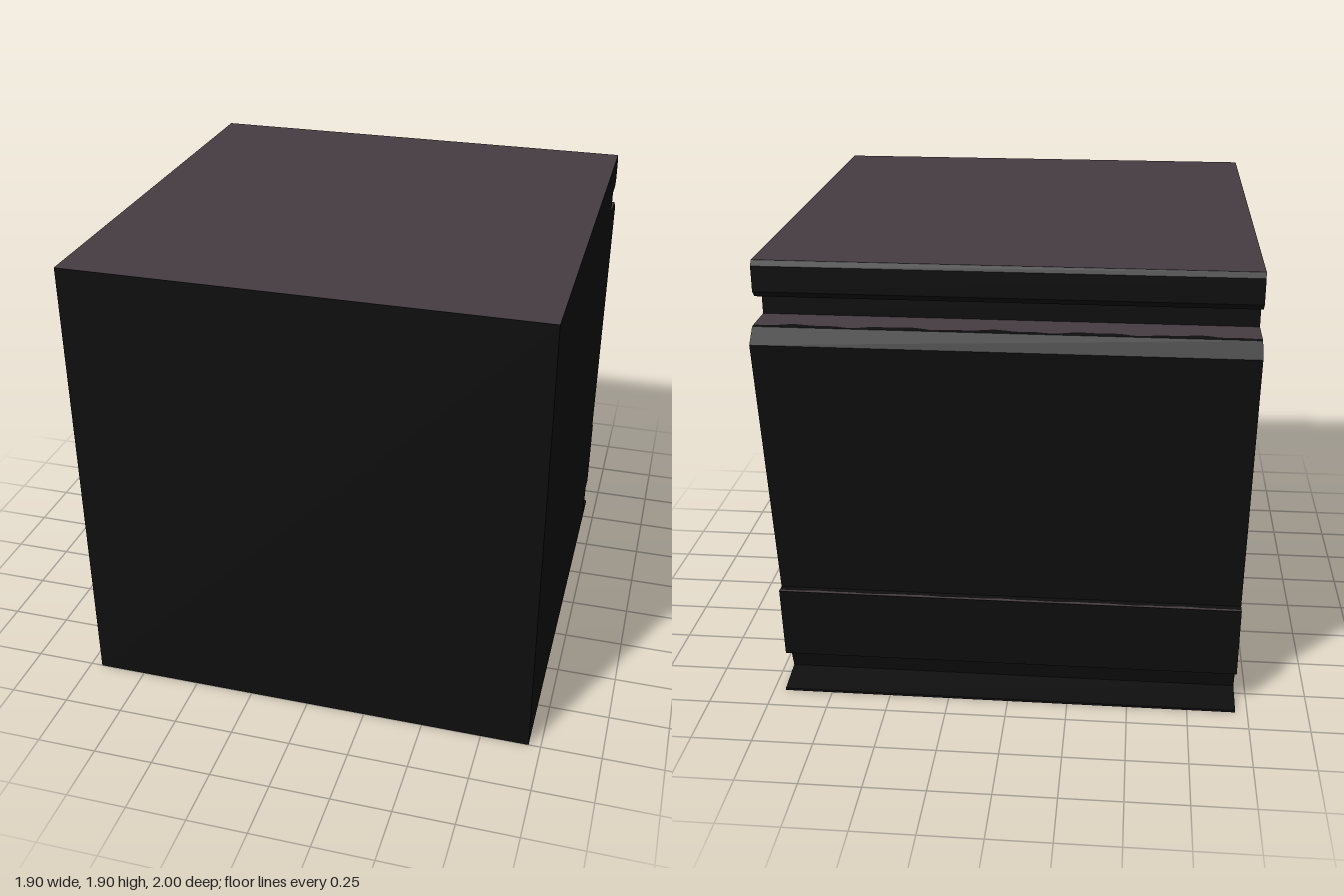
import * as THREE from 'three';

const WIDTH = 1.9;

export function createModel() {
  const model = new THREE.Group();
  model.name = 'mouldedBlock';

  const black = new THREE.MeshStandardMaterial({ color: 0x0e0e0e });
  black.name = 'black';
  const gray = new THREE.MeshStandardMaterial({ color: 0x453c42 });
  gray.name = 'worn gray';

  function add(name, geometry, material) {
    const mesh = new THREE.Mesh(geometry, material);
    mesh.name = name;
    model.add(mesh);
  }

  // Block: side profile (z, y) with the moulded back, extruded across the width
  const profile = [
    [1, 0], [1, 1.9], [-0.895, 1.9], [-0.91, 1.88], [-0.91, 1.78], [-0.885, 1.755],
    [-0.79, 1.755], [-0.79, 1.655], [-0.945, 1.655], [-1, 1.6], [-0.835, 0.475],
    [-0.875, 0.475], [-0.85, 0.16], [-0.78, 0.16], [-0.74, 0.03], [-0.89, 0.01], [-0.89, 0],
  ].map(([z, y]) => new THREE.Vector2(z, y));
  const body = new THREE.ExtrudeGeometry(new THREE.Shape(profile), { depth: WIDTH, bevelEnabled: false });
  body.translate(0, 0, -WIDTH / 2).rotateY(-Math.PI / 2);
  add('body', body, black);

  // Flat face running from z0 to z1 with a ragged z1 edge; facing is 1 for up, -1 for down
  function wornStrip(name, y, z0, z1, rag, facing) {
    const side = -facing;
    const points = [
      new THREE.Vector2(-WIDTH / 2, side * z0),
      new THREE.Vector2(WIDTH / 2, side * z0),
    ];
    for (let i = 48; i >= 0; i--) {
      const x = (i / 48 - 0.5) * WIDTH;
      const wobble = 0.6 * Math.sin(x * 17 + 1) + 0.4 * Math.sin(x * 41);
      points.push(new THREE.Vector2(x, side * (z1 + rag * wobble)));
    }
    const strip = new THREE.ShapeGeometry(new THREE.Shape(points));
    strip.rotateX(side * Math.PI / 2).translate(0, y + facing * 0.001, 0);
    add(name, strip, gray);
  }

  // Gray top and the worn ledges of the back moulding
  wornStrip('topFace', 1.9, 1, -0.895, 0, 1);
  wornStrip('upperLedge', 1.655, -0.79, -0.92, 0.015, 1);
  wornStrip('bandLedge', 0.475, -0.875, -0.862, 0.004, 1);
  wornStrip('lipUnderside', 1.755, -0.79, -0.83, 0.01, -1);
  wornStrip('bandUnderside', 0.16, -0.78, -0.83, 0.01, -1);

  return model;
}
